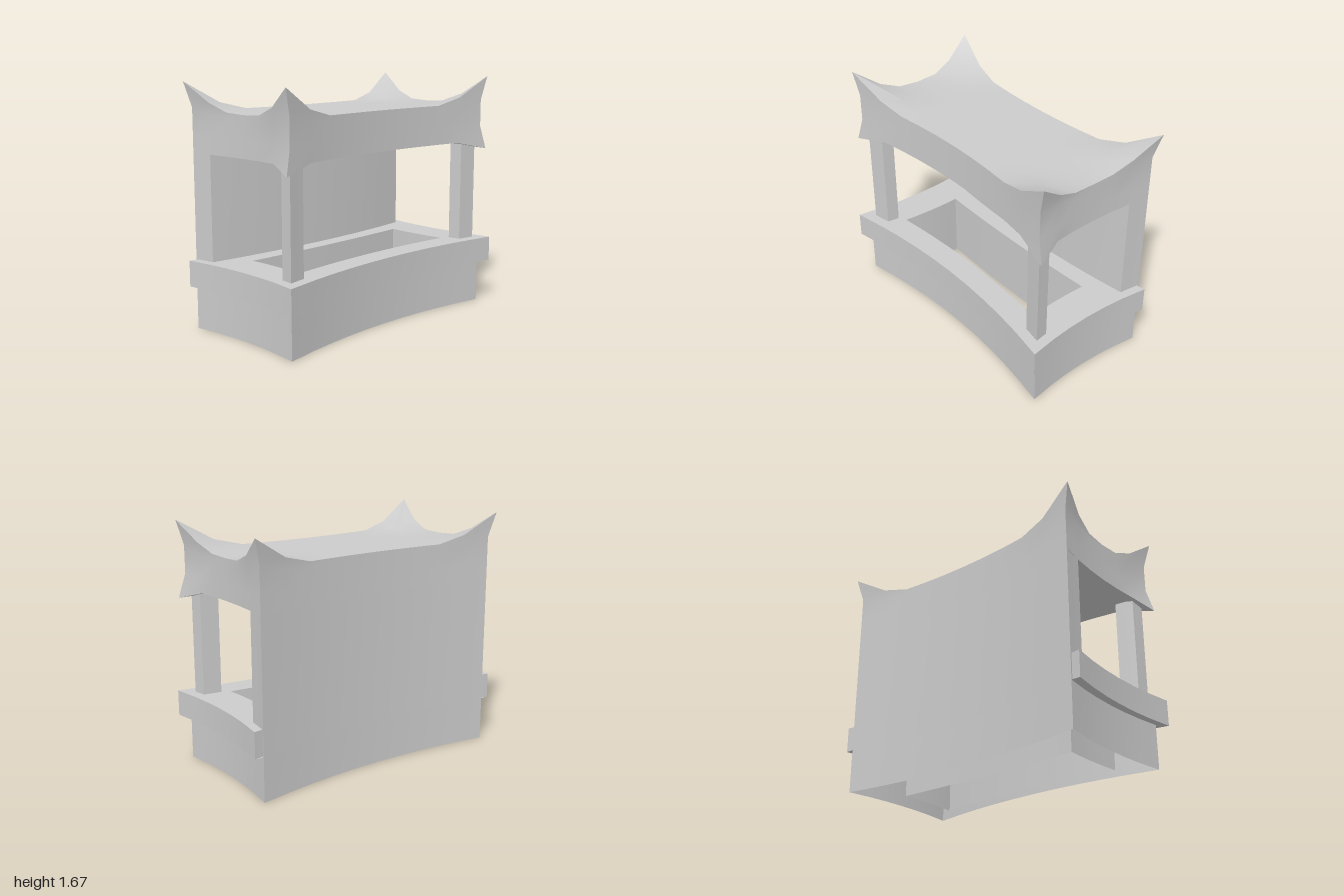
import * as THREE from 'three';
import { toCreasedNormals } from 'three/addons/utils/BufferGeometryUtils.js';

// Sample positions across the width (u) and the depth (v), both -1..1
const US = [-1, -0.77, -0.57, -0.38, -0.19, 0, 0.19, 0.38, 0.57, 0.77, 1];
const VS = [-1, -0.63, -0.33, 0, 0.33, 0.63, 1];
const lerp = THREE.MathUtils.lerp;

// Plans with all four sides bowed inwards
const BODY = { x: 0.94, front: 0.45, back: -0.49, sagX: 0.04, sagF: 0.1, sagB: 0.09 };
const COUNTER = { x: 1, front: 0.515, back: -0.487, sagX: 0.045, sagF: 0.105, sagB: 0.09 };

function plan(p, u, v, y) {
  const k = 1 - u * u;
  return new THREE.Vector3(
    u * (p.x - p.sagX * (1 - v * v)), y,
    lerp(p.back + p.sagB * k, p.front - p.sagF * k, (v + 1) / 2));
}

// Visits a rectangle in (u, v) once around: front, right, back, left
function around(fn, u0 = -1, u1 = 1, v0 = -1, v1 = 1) {
  const us = US.map(u => lerp(u0, u1, (u + 1) / 2));
  const vs = VS.map(v => lerp(v0, v1, (v + 1) / 2));
  return [
    ...us.map(u => [u, v1]).slice(0, -1),
    ...vs.map(v => [u1, v]).reverse().slice(0, -1),
    ...us.map(u => [u, v0]).reverse().slice(0, -1),
    ...vs.map(v => [u0, v]).slice(0, -1),
  ].map(([u, v]) => fn(u, v));
}

// Skins consecutive rows of points with quads
function skin(name, rows, closed) {
  const pos = [];
  for (let j = 0; j < rows.length - 1; j++) {
    const n = rows[j].length;
    for (let i = 0; i < (closed ? n : n - 1); i++) {
      const i2 = (i + 1) % n;
      const a = rows[j][i], b = rows[j][i2], c = rows[j + 1][i2], d = rows[j + 1][i];
      for (const q of [a, b, c, a, c, d]) pos.push(q.x, q.y, q.z);
    }
  }
  const geo = new THREE.BufferGeometry();
  geo.setAttribute('position', new THREE.Float32BufferAttribute(pos, 3));
  const mesh = new THREE.Mesh(toCreasedNormals(geo, 0.6),
    new THREE.MeshStandardMaterial({ color: 0xcccccc, side: THREE.DoubleSide }));
  mesh.name = name;
  return mesh;
}

// Upright block following the bowed body plan
function block(name, u0, u1, v0, v1, y0, y1) {
  const ring = y => around((u, v) => plan(BODY, u, v, y), u0, u1, v0, v1);
  return skin(name, [ring(y0), ring(y1)], true);
}

const ramp = (t, start, power) => Math.pow(Math.max(0, (Math.abs(t) - start) / (1 - start)), power);

// Roof edges: pulled out and up (or down) towards the corners
function flared(u, v, y, c, lift) {
  const p = plan(BODY, u, v, y + lift * c);
  p.x += Math.sign(u) * 0.045 * c;
  p.z += (v > 0 ? 0.02 : -0.03) * c;
  return p;
}
const topCorner = (u, v) => ramp(u, 0.55, 1.9) * ramp(v, 0.2, 1.8);
const roofTop = (u, v) => flared(u, v, 1.475, topCorner(u, v), 0.195);
const roofBottom = (u, v) =>
  flared(u, v, 1.2, v > 0 ? ramp(u, 0.77, 1) * ramp(v, 0.63, 1) : 0, -0.055);

export function createModel() {
  const model = new THREE.Group();
  model.name = 'marketStall';

  // Open-bottomed base, overhanging counter and the well through it
  const well = y => around((u, v) => plan(BODY, u, v, y), -0.78, 0.78, -0.366, 0.7);
  const ring = (p, y) => around((u, v) => plan(p, u, v, y));
  model.add(skin('baseAndCounter', [
    ring(BODY, 0), ring(BODY, 0.305), ring(COUNTER, 0.305),
    ring(COUNTER, 0.483), well(0.483), well(0),
  ], true));

  // Back wall and the two front posts
  model.add(block('backWall', -1, 1, -1, -0.68, 0.305, 1.2));
  model.add(block('leftPost', 0.84, 0.977, 0.75, 0.948, 0.483, 1.2));
  model.add(block('rightPost', -0.977, -0.84, 0.75, 0.948, 0.483, 1.2));

  // Roof: fascia, dished top with horned corners, and underside
  const roof = new THREE.Group();
  roof.name = 'roof';
  roof.add(skin('roofFascia', [
    around(roofBottom),
    around((u, v) => plan(BODY, u, v, 1.31)),
    around((u, v) => plan(BODY, u, v, 1.44 + 0.06 * topCorner(u, v))),
    around(roofTop),
  ], true));
  const grid = fn => VS.map(v => US.map(u => fn(u, v)));
  roof.add(skin('roofTop', grid(roofTop).reverse(), false));
  roof.add(skin('roofUnderside', grid(roofBottom), false));
  model.add(roof);

  return model;
}
